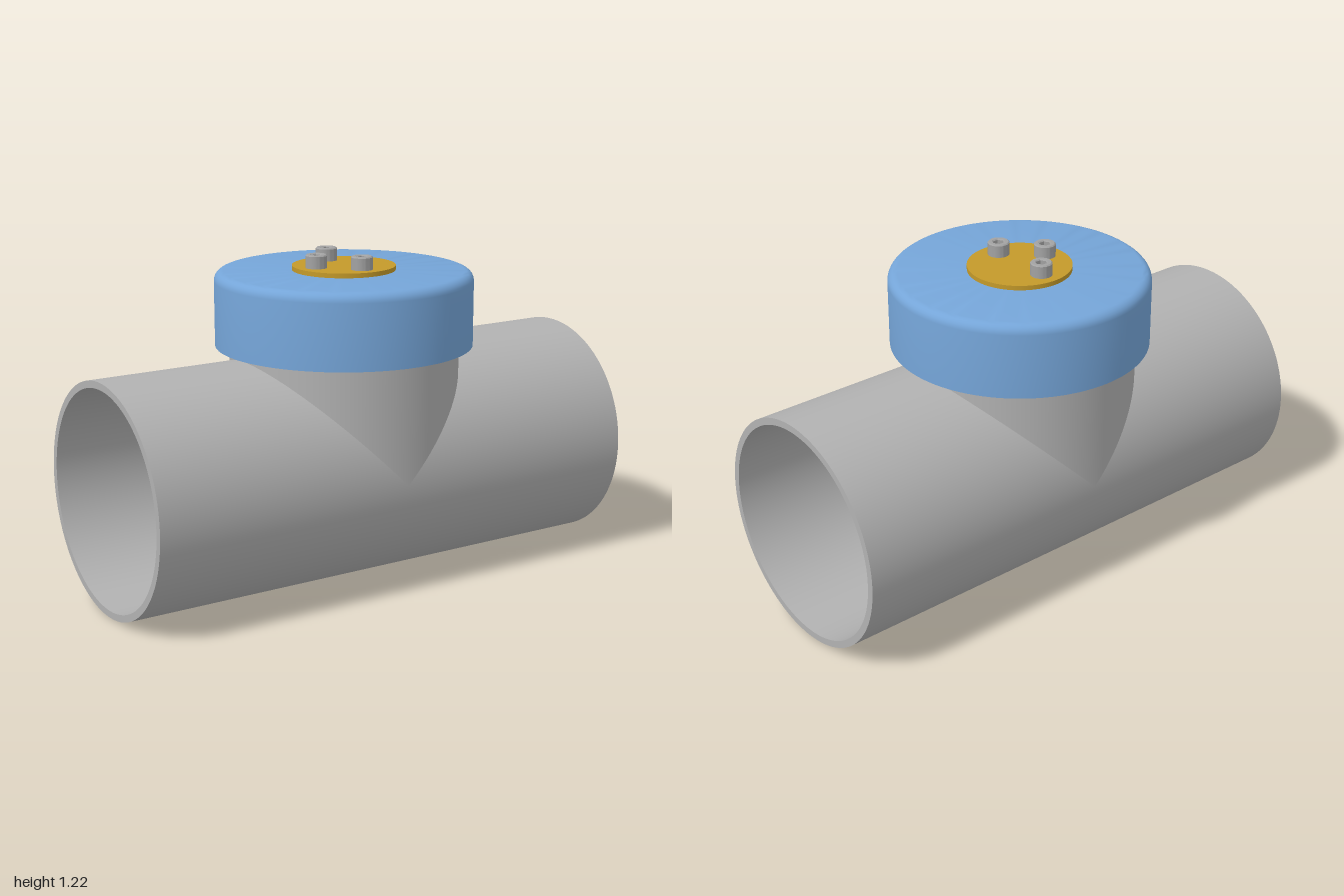
import * as THREE from 'three';
import { toCreasedNormals } from 'three/addons/utils/BufferGeometryUtils.js';

const OUTER = 0.428, INNER = 0.402, AXIS_Y = 0.428;
const CAP_BOTTOM = 0.877, CAP_TOP = 1.155, CAP_INSIDE = 1.11, CAP_R = 0.48;

export function createModel() {
  const model = new THREE.Group();
  model.name = 'pipeTee';
  const material = (name, color, side = THREE.FrontSide) => {
    const m = new THREE.MeshStandardMaterial({ color, side });
    m.name = name;
    return m;
  };
  const pipeGrey = material('pipe grey', 0xb2b2b2, THREE.DoubleSide);
  const capBlue = material('cap blue', 0x75a5d8);
  const brass = material('brass', 0xc49a2a);
  const steel = material('steel', 0xa2a2a2);
  const flapRed = material('flap red', 0x8e2e2e);

  const add = (name, geometry, mat, x = 0, y = 0, z = 0, parent = model) => {
    const mesh = new THREE.Mesh(geometry, mat);
    mesh.name = name;
    mesh.position.set(x, y, z);
    parent.add(mesh);
    return mesh;
  };

  // Open tube whose vertices are moved so that its near end follows the saddle seam
  const openTube = (radius) => new THREE.CylinderGeometry(radius, radius, 1, 128, 1, true);

  // Half of the main pipe, mitred round the branch opening
  const halfPipe = (radius) => {
    const g = openTube(radius).rotateZ(-Math.PI / 2);
    const p = g.attributes.position;
    for (let i = 0; i < p.count; i++) {
      p.setX(i, p.getX(i) > 0 ? 1 : Math.max(0, p.getY(i)));
    }
    return g;
  };

  // Upright branch, pointed below where it meets the main pipe
  const branch = (radius) => {
    const g = openTube(radius);
    const p = g.attributes.position;
    for (let i = 0; i < p.count; i++) {
      p.setY(i, p.getY(i) > 0 ? CAP_INSIDE - AXIS_Y : Math.abs(p.getX(i)));
    }
    return g;
  };

  for (const [label, radius] of [['Outer', OUTER], ['Inner', INNER]]) {
    add('branch' + label, branch(radius), pipeGrey, 0, AXIS_Y);
    for (const [side, turn] of [['left', 0], ['right', Math.PI]]) {
      add(side + 'Pipe' + label, halfPipe(radius).rotateY(turn), pipeGrey, 0, AXIS_Y);
    }
  }

  // Pipe end rims
  for (const s of [1, -1]) {
    const rim = new THREE.RingGeometry(INNER, OUTER, 128).rotateY(s * Math.PI / 2);
    add(s > 0 ? 'leftRim' : 'rightRim', rim, pipeGrey, s, AXIS_Y);
  }

  // Hollow cap with a rounded top edge
  const round = 0.036;
  const profile = [
    [0, CAP_INSIDE], [OUTER + 0.002, CAP_INSIDE],
    [OUTER + 0.002, CAP_BOTTOM], [CAP_R, CAP_BOTTOM],
  ].map(([r, y]) => new THREE.Vector2(r, y));
  for (let i = 0; i <= 6; i++) {
    const a = (i / 6) * Math.PI / 2;
    profile.push(new THREE.Vector2(
      CAP_R - round + round * Math.cos(a), CAP_TOP - round + round * Math.sin(a)));
  }
  profile.push(new THREE.Vector2(0, CAP_TOP));
  add('cap', toCreasedNormals(new THREE.LatheGeometry(profile, 96), 0.6), capBlue);

  // Brass disc on the cap
  add('brassDisc', new THREE.CylinderGeometry(0.192, 0.192, 0.017, 64), brass, 0, CAP_TOP + 0.0085);

  // Socket-head bolts
  const head = new THREE.Shape().absarc(0, 0, 0.04, 0, Math.PI * 2, false);
  const socket = new THREE.Path();
  for (let i = 0; i < 6; i++) {
    const a = -i * Math.PI / 3;
    socket[i ? 'lineTo' : 'moveTo'](0.021 * Math.cos(a), 0.021 * Math.sin(a));
  }
  socket.closePath();
  head.holes.push(socket);
  const headGeometry = toCreasedNormals(new THREE.ExtrudeGeometry(head, {
    depth: 0.045, bevelEnabled: true, bevelThickness: 0.004, bevelSize: 0.004,
    bevelOffset: -0.004, bevelSegments: 1, curveSegments: 20,
  }).rotateX(-Math.PI / 2), 0.6);
  const floorGeometry = new THREE.CylinderGeometry(0.03, 0.03, 0.02, 24);
  for (const [x, z] of [[0, -0.12], [-0.12, 0], [0, 0.12]]) {
    const bolt = new THREE.Group();
    bolt.name = 'bolt';
    bolt.position.set(x, 1.172, z);
    add('boltHead', headGeometry, steel, 0, 0, 0, bolt);
    add('socketFloor', floorGeometry, steel, 0, 0.01, 0, bolt);
    model.add(bolt);
  }

  // Plate standing across the pipe
  const plate = (shape, depth) => toCreasedNormals(
    new THREE.ExtrudeGeometry(shape, { depth, bevelEnabled: false, curveSegments: 64 })
      .rotateY(Math.PI / 2), 0.5);

  // Round flap, cut straight at the top
  const FLAP_Y = 0.48, FLAP_R = 0.352, topAngle = Math.asin(0.27 / FLAP_R);
  const disc = new THREE.Shape()
    .absarc(0, FLAP_Y, FLAP_R, Math.PI - topAngle, topAngle + Math.PI * 2, false);
  add('flapDisc', plate(disc, 0.025), flapRed, -0.0125);

  // Backing plates with a narrow neck and sloping shoulders
  const backing = new THREE.Shape()
    .absarc(0, FLAP_Y, FLAP_R, Math.PI + 0.24, Math.PI * 2 - 0.24, false);
  backing.lineTo(0.232, 0.625);
  backing.quadraticCurveTo(0.22, 0.655, 0.19, 0.662);
  backing.quadraticCurveTo(0.168, 0.668, 0.168, 0.69);
  backing.lineTo(0.168, CAP_INSIDE);
  backing.lineTo(-0.168, CAP_INSIDE);
  backing.lineTo(-0.168, 0.69);
  backing.quadraticCurveTo(-0.168, 0.668, -0.19, 0.662);
  backing.quadraticCurveTo(-0.22, 0.655, -0.232, 0.625);
  backing.closePath();
  add('flapFront', plate(backing, 0.012), flapRed, 0.0125);
  add('flapBack', plate(backing, 0.012), flapRed, -0.0245);

  // Hanger holding the flap under the cap
  add('flapHanger', new THREE.BoxGeometry(0.2, 0.31, 0.37), flapRed, -0.05, 0.955, 0);

  return model;
}
